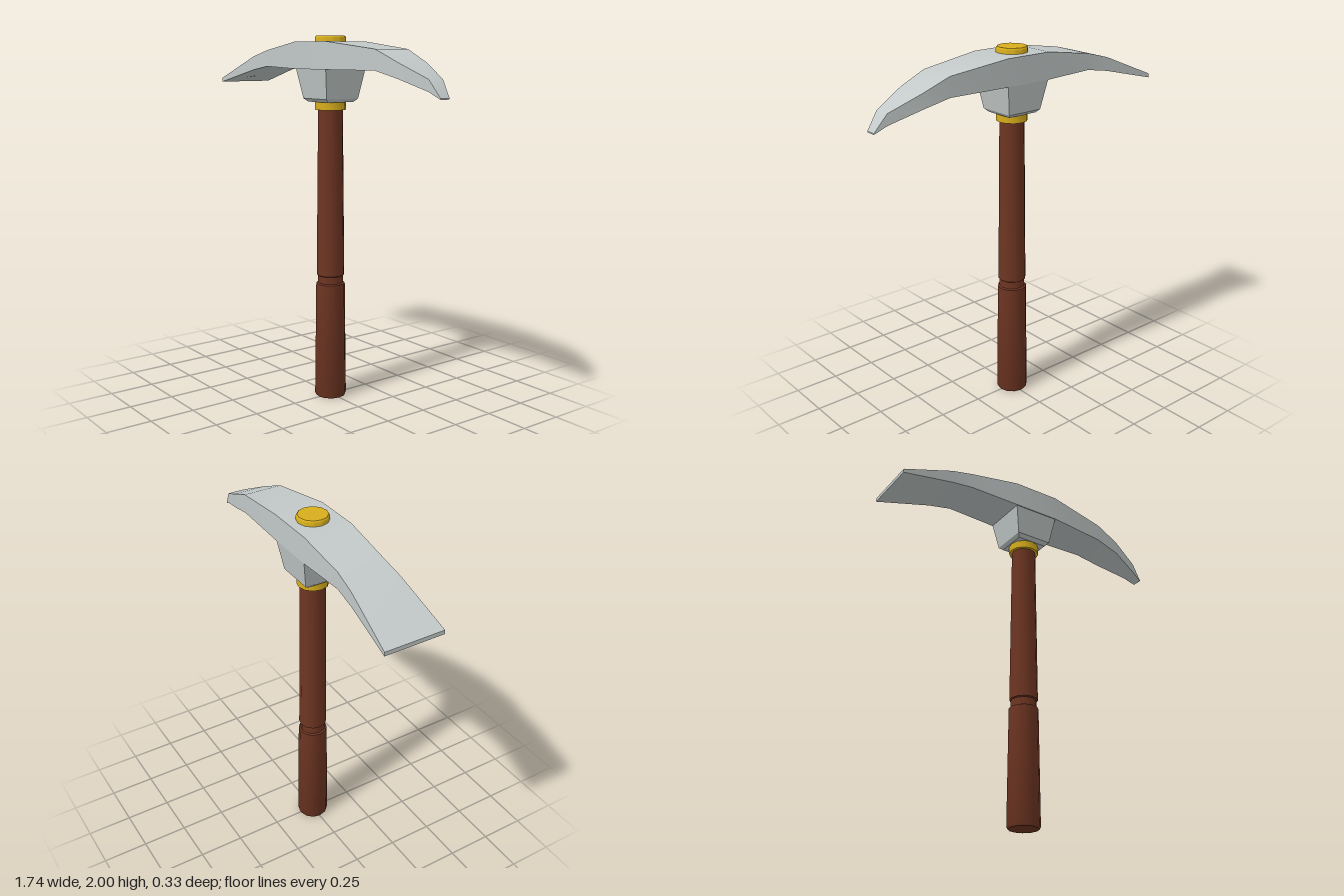
import * as THREE from 'three';
import { toCreasedNormals } from 'three/addons/utils/BufferGeometryUtils.js';

// Joins four-cornered rings; each ring runs counterclockwise seen from the last ring's end
function loft(rings, crease = 0.6) {
  const index = [];
  for (let i = 0; i < rings.length - 1; i++) {
    for (let k = 0; k < 4; k++) {
      const a = i * 4 + k, b = i * 4 + (k + 1) % 4;
      index.push(a, b, b + 4, a, b + 4, a + 4);
    }
  }
  const e = (rings.length - 1) * 4;
  index.push(0, 3, 2, 0, 2, 1, e, e + 1, e + 2, e, e + 2, e + 3);
  const geometry = new THREE.BufferGeometry();
  geometry.setAttribute('position', new THREE.Float32BufferAttribute(rings.flat(2), 3));
  geometry.setIndex(index);
  return toCreasedNormals(geometry, crease);
}

// Turned part from [radius, y] points
function turned(points) {
  const profile = points.map(([r, y]) => new THREE.Vector2(r, y));
  return toCreasedNormals(new THREE.LatheGeometry(profile, 12), 0.7);
}

export function createModel() {
  const model = new THREE.Group();
  const material = (name, color) => {
    const m = new THREE.MeshStandardMaterial({ color });
    m.name = name;
    return m;
  };
  const steel = material('steel', 0xc2c9c8);
  const wood = material('wood', 0x6e3522);
  const gold = material('gold', 0xd8ae1c);

  const add = (name, geometry, mat, x = 0) => {
    const mesh = new THREE.Mesh(geometry, mat);
    mesh.name = name;
    mesh.position.x = x;
    model.add(mesh);
  };

  // Head: broad blade at -x, pointed pick at +x
  // x, top y, bottom y, front z, back z
  const sections = [
    [-0.87, 1.762, 1.74, 0.16, -0.168],
    [-0.56, 1.89, 1.815, 0.133, -0.138],
    [-0.43, 1.925, 1.836, 0.125, -0.128],
    [-0.14, 1.97, 1.826, 0.137, -0.132],
    [0.13, 1.97, 1.826, 0.137, -0.132],
    [0.48, 1.93, 1.826, 0.095, -0.12],
    [0.63, 1.868, 1.79, 0.08, -0.105],
    [0.80, 1.79, 1.732, 0.033, -0.058],
    [0.866, 1.703, 1.697, 0.017, -0.04],
  ];
  add('head', loft(sections.map(([x, t, b, f, k]) =>
    [[x, t, f], [x, b, f], [x, b, k], [x, t, k]])), steel);

  // Tapered socket under the head: y, left x, right x, half depth
  const socket = [
    [1.652, -0.092, 0.085, 0.085],
    [1.67, -0.108, 0.102, 0.105],
    [1.83, -0.138, 0.13, 0.132],
  ];
  add('socket', loft(socket.map(([y, l, r, d]) =>
    [[l, y, -d], [l, y, d], [r, y, d], [r, y, -d]]), 0.4), steel);

  // Handle with a groove above the grip
  add('handle', turned([
    [0, 0], [0.082, 0], [0.088, 0.012], [0.08, 0.65], [0.07, 0.655],
    [0.07, 0.695], [0.077, 0.70], [0.067, 1.64], [0, 1.64],
  ]), wood, -0.004);

  // Gold collar below the head and cap on top
  add('collar', turned([[0, 1.61], [0.084, 1.61], [0.084, 1.66], [0, 1.66]]), gold, -0.004);
  add('cap', turned([[0, 1.95], [0.084, 1.95], [0.084, 1.992], [0.078, 2], [0, 2]]), gold, -0.004);

  return model;
}
